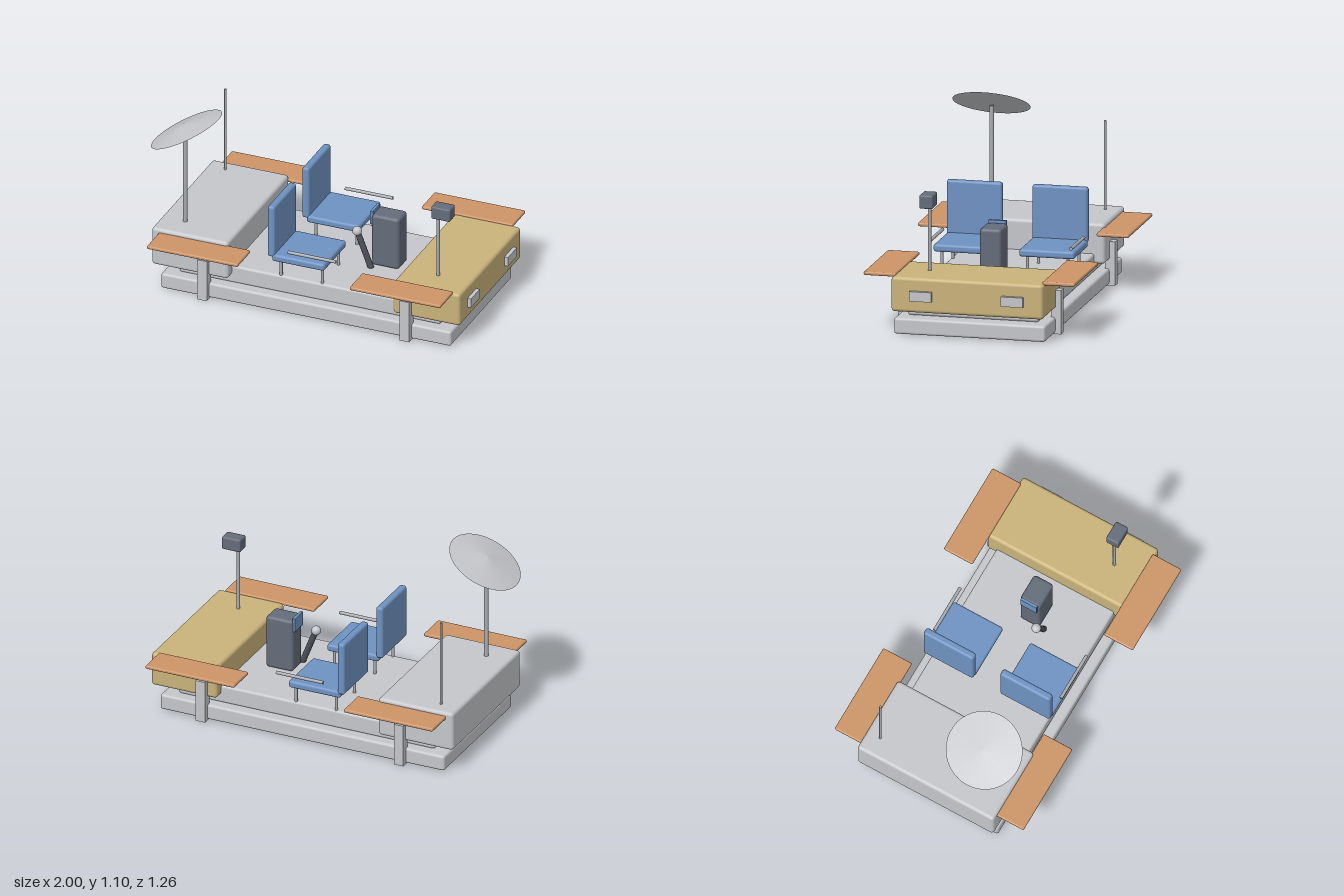
import * as THREE from 'three';
import { RoundedBoxGeometry } from 'three/addons/geometries/RoundedBoxGeometry.js';

const paint = (name, color) => {
  const m = new THREE.MeshStandardMaterial({ color });
  m.name = name;
  return m;
};

export function createModel() {
  const root = new THREE.Group();
  root.name = 'rover';
  const grey = paint('light grey', 0xc4c6ca);
  const gold = paint('gold foil', 0xc9b27a);
  const blue = paint('seat blue', 0x6e92c2);
  const orange = paint('fender orange', 0xcc9467);
  const slate = paint('slate', 0x636c79);
  const metal = paint('pole metal', 0xa8abb0);
  const black = paint('dark grey', 0x4c5058);

  const add = (name, geometry, material, parent = root) => {
    const mesh = new THREE.Mesh(geometry, material);
    mesh.name = name;
    parent.add(mesh);
    return mesh;
  };

  // Box given by its extents; r > 0 rounds the edges
  const box = (name, [x0, x1], [y0, y1], [z0, z1], r, material, parent) => {
    const size = [x1 - x0, y1 - y0, z1 - z0];
    const g = r ? new RoundedBoxGeometry(...size, 3, r) : new THREE.BoxGeometry(...size);
    const mesh = add(name, g, material, parent);
    mesh.position.set((x0 + x1) / 2, (y0 + y1) / 2, (z0 + z1) / 2);
    return mesh;
  };

  // Round bar between two points
  const rod = (name, from, to, r, material, parent) => {
    const a = new THREE.Vector3(...from), b = new THREE.Vector3(...to);
    const d = b.clone().sub(a);
    const mesh = add(name, new THREE.CylinderGeometry(r, r, d.length(), 16), material, parent);
    mesh.position.copy(a).add(b).multiplyScalar(0.5);
    mesh.quaternion.setFromUnitVectors(new THREE.Vector3(0, 1, 0), d.normalize());
    return mesh;
  };

  // Chassis and equipment boxes
  box('lowerChassis', [-0.9, 0.92], [0.005, 0.1], [-0.45, 0.45], 0.015, grey);
  box('deck', [-0.81, 0.83], [0.1, 0.21], [-0.39, 0.39], 0.015, grey);
  box('rearBox', [-0.957, -0.478], [0.15, 0.39], [-0.452, 0.452], 0.02, grey);
  box('frontBox', [0.557, 0.977], [0.15, 0.357], [-0.452, 0.452], 0.02, gold);

  for (const s of [1, -1]) {
    const side = s > 0 ? 'left' : 'right';
    const span = (a, b) => (s > 0 ? [a, b] : [-b, -a]);

    // Fenders and the struts below them
    for (const [end, fx, sx] of [['Rear', -0.912, -0.625], ['Front', 0.36, 0.645]]) {
      box(side + end + 'Fender', [fx, fx + 0.57], [0.345, 0.367], span(0.437, 0.628), 0.009, orange);
      box(side + end + 'Strut', [sx - 0.03, sx + 0.03], [0, 0.26], span(0.425, 0.485), 0, grey);
    }

    // Headlight
    box(side + 'Headlight', [0.97, 1], [0.222, 0.28], span(0.207, 0.338), 0, grey);

    // Seat with legs and outer armrest
    const seat = new THREE.Group();
    seat.name = side + 'Seat';
    root.add(seat);
    box('cushion', [-0.217, 0.113], [0.31, 0.355], span(0.09, 0.42), 0.015, blue, seat);
    box('backrest', [-0.245, -0.2], [0.337, 0.665], span(0.09, 0.42), 0.015, blue, seat);
    for (const x of [-0.175, 0.083])
      for (const z of [0.135, 0.375])
        rod('leg', [x, 0.2, s * z], [x, 0.32, s * z], 0.009, metal, seat);
    rod('armrest', [-0.112, 0.392, s * 0.42], [0.188, 0.392, s * 0.42], 0.01, metal, seat);
  }

  // Control console with display and hand lever
  box('console', [0.257, 0.43], [0.21, 0.54], [-0.065, 0.065], 0.02, slate);
  box('display', [0.246, 0.263], [0.47, 0.555], [-0.053, 0.053], 0, blue);
  rod('lever', [0.268, 0.205, 0.09], [0.18, 0.43, 0.09], 0.018, black);
  add('leverKnob', new THREE.SphereGeometry(0.028, 20, 14), grey).position.set(0.18, 0.43, 0.09);

  // Camera on its post
  rod('cameraPost', [0.767, 0.34, 0.275], [0.767, 0.75, 0.275], 0.01, metal);
  box('camera', [0.738, 0.857], [0.74, 0.82], [0.235, 0.316], 0.01, slate);

  // Dish: shallow cone tipped backward on a mast
  rod('dishMast', [-0.808, 0.38, 0.303], [-0.808, 0.975, 0.303], 0.014, metal);
  const dish = add('dish', new THREE.ConeGeometry(0.228, 0.04, 40), grey);
  dish.position.set(-0.809, 1.011, 0.303);
  dish.rotation.z = 0.49;

  // Whip antenna
  rod('antenna', [-0.84, 0.38, -0.364], [-0.84, 0.917, -0.364], 0.007, metal);

  return root;
}
